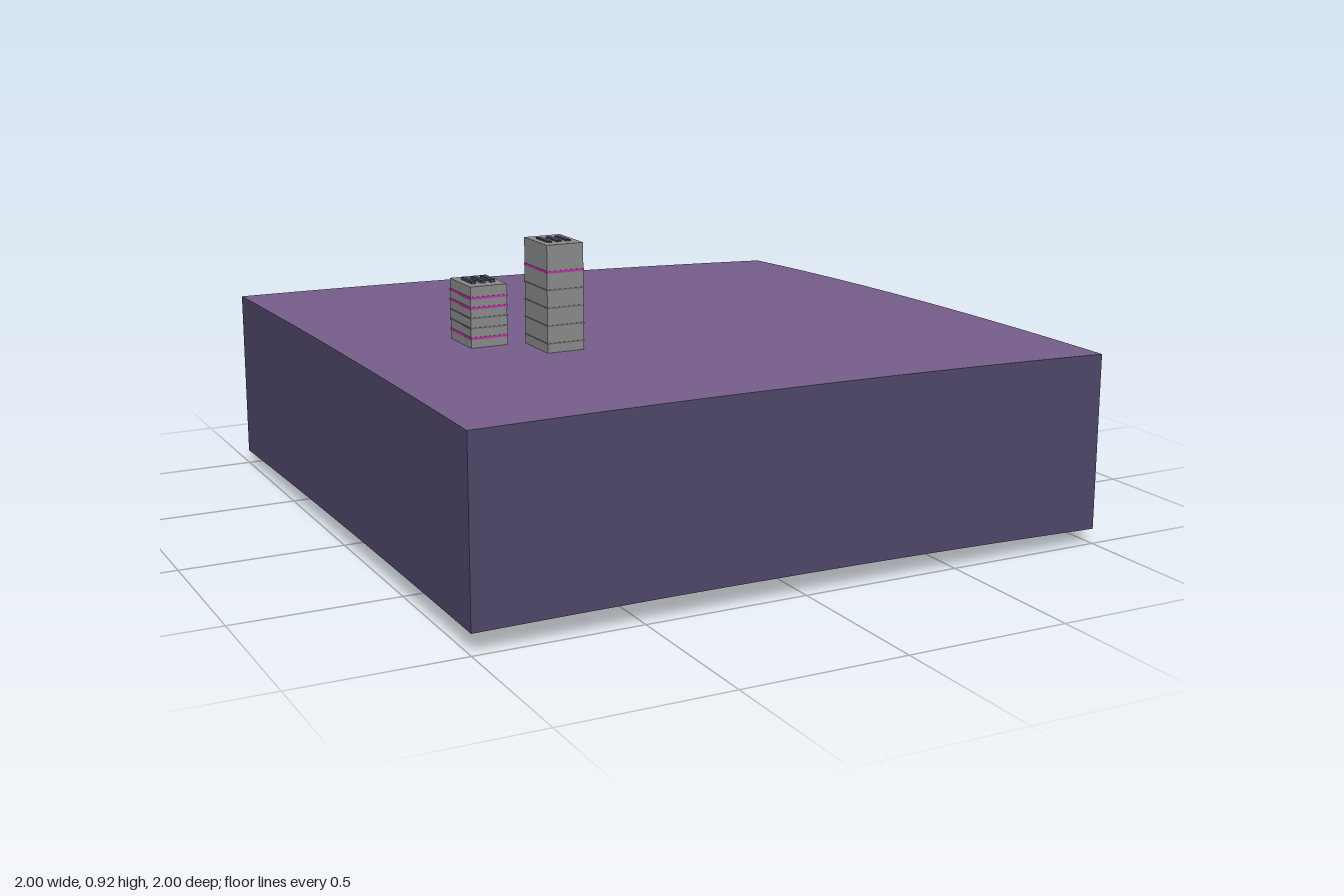
import * as THREE from 'three';

const mat = (name, color, side = THREE.FrontSide) => {
  const m = new THREE.MeshStandardMaterial({ color, side });
  m.name = name;
  return m;
};

// Gentle terrain height: quadratic blend through a 3 x 3 grid (rows z = -1, 0, 1)
const GRID = [[0.581, 0.569, 0.538], [0.597, 0.597, 0.575], [0.599, 0.602, 0.584]];
const weights = t => [t * (t - 1) / 2, 1 - t * t, t * (t + 1) / 2];
function height(x, z) {
  const wx = weights(x), wz = weights(z);
  return GRID.reduce((s, row, j) => s + wz[j] * row.reduce((r, h, i) => r + h * wx[i], 0), 0);
}
const DEPTH = 0.536, SEG = 24;

export function createModel() {
  const model = new THREE.Group();
  model.name = 'towersOnLand';
  const land = mat('land purple', 0x775f8c, THREE.DoubleSide);
  const earth = mat('earth purple', 0x50486a, THREE.DoubleSide);
  const concrete = mat('concrete grey', 0x8a8c8c);
  const groove = mat('floor line grey', 0x6a6e70);
  const neon = mat('neon pink', 0xc030a8);
  const vent = mat('vent slate', 0x45435c);

  const add = (parent, name, geometry, material) => {
    const mesh = new THREE.Mesh(geometry, material);
    mesh.name = name;
    parent.add(mesh);
    return mesh;
  };

  // Land surface
  const top = new THREE.PlaneGeometry(2, 2, SEG, SEG).rotateX(-Math.PI / 2);
  const p = top.attributes.position;
  for (let i = 0; i < p.count; i++) p.setY(i, height(p.getX(i), p.getZ(i)));
  top.computeVertexNormals();
  add(model, 'landSurface', top, land);

  // Skirt walls, open below, whose lower edge follows the land
  ['front', 'left', 'back', 'right'].forEach((side, k) => {
    const wall = new THREE.PlaneGeometry(2, 1, SEG, 1).translate(0, 0, 1).rotateY(k * Math.PI / 2);
    const w = wall.attributes.position;
    for (let i = 0; i < w.count; i++) {
      const h = height(w.getX(i), w.getZ(i));
      w.setY(i, w.getY(i) > 0 ? h : h - DEPTH);
    }
    add(model, side + 'Skirt', wall, earth);
  });

  // Towers: body, floor bands all round, three roof vents
  const W = 0.115, D = 0.16, BASE = 0.597;
  const towers = [
    { name: 'lowTower', x: -0.588, z: 0.083, top: 0.784, vent: 0.008, first: 0.63, step: 0.03, pink: [0, 3, 4] },
    { name: 'tallTower', x: -0.418, z: 0.249, top: 0.919, vent: 0.004, first: 0.63, step: 0.0525, pink: [4] },
  ];
  for (const t of towers) {
    const tower = new THREE.Group();
    tower.name = t.name;
    tower.position.set(t.x, 0, t.z);
    model.add(tower);
    add(tower, 'body', new THREE.BoxGeometry(W, t.top - BASE, D), concrete).position.y = (t.top + BASE) / 2;
    for (let i = 0; i < 5; i++) {
      const pink = t.pink.includes(i);
      const band = new THREE.BoxGeometry(W + 0.003, pink ? 0.007 : 0.004, D + 0.003);
      add(tower, pink ? 'neonBand' : 'floorBand', band, pink ? neon : groove).position.y = t.first + i * t.step;
    }
    for (const x of [-0.03, 0, 0.03]) {
      add(tower, 'roofVent', new THREE.BoxGeometry(0.015, t.vent, 0.08), vent)
        .position.set(x, t.top + t.vent / 2, 0);
    }
  }
  return model;
}
